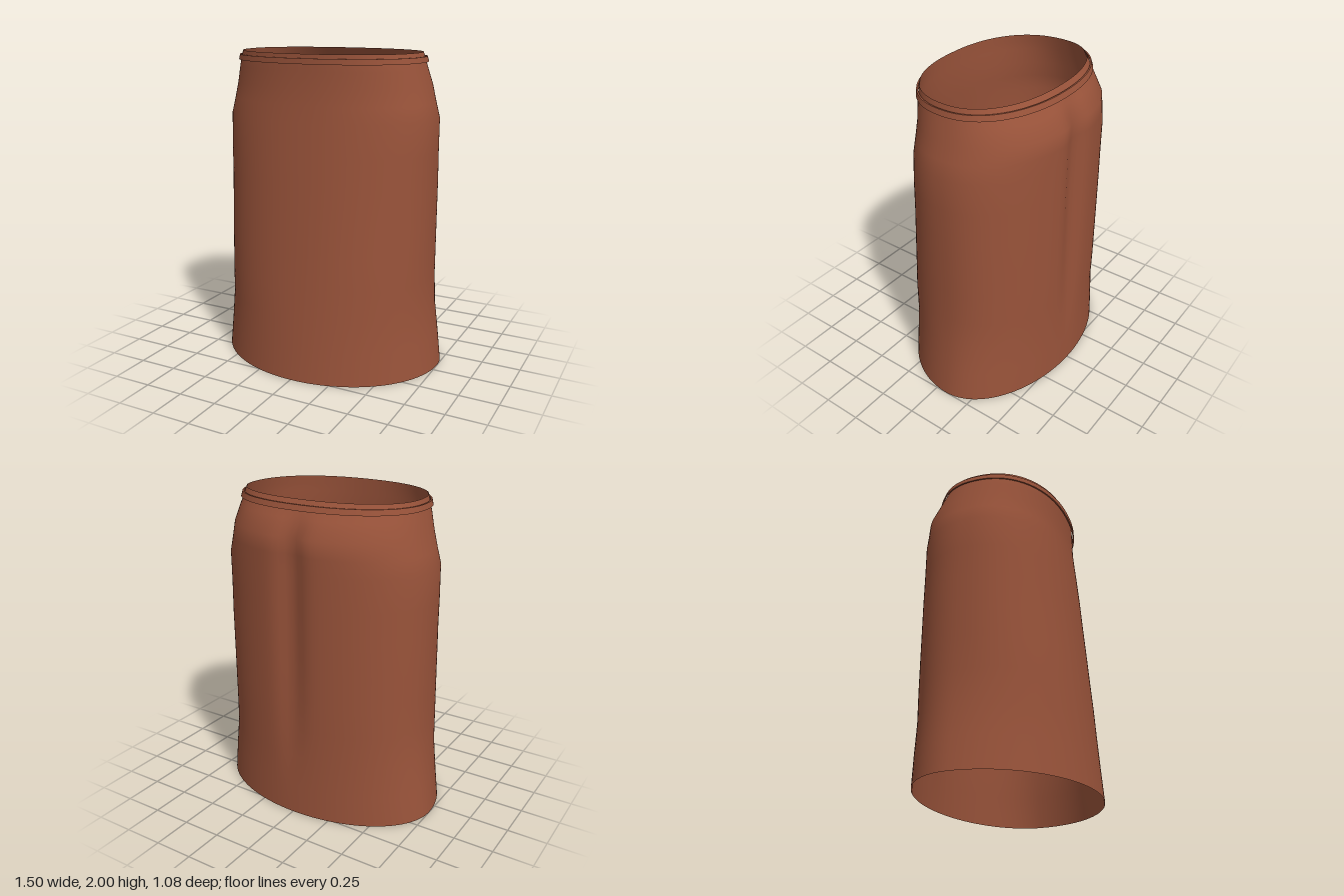
import * as THREE from 'three';
import { toCreasedNormals } from 'three/addons/utils/BufferGeometryUtils.js';

const SEGMENTS = 128;

// Rounded cross-section: separate front and back depth, optional centre-back crease
function ringPoint(row, t) {
  const [y, w, front, back, zc, crease = 0, n = 2.2] = row;
  const c = Math.cos(t), s = Math.sin(t);
  const x = w * Math.sign(c) * Math.abs(c) ** (2 / n);
  const k = Math.abs(s) ** (2 / n);
  let z = zc + (s >= 0 ? (front - zc) * k : (back - zc) * k);
  if (s < 0) z += crease * Math.exp(-((x / 0.085) ** 2));
  return [x, y, z];
}

// Skin a list of cross-sections, closed around the body
function loft(rows) {
  const pos = [], idx = [];
  for (const row of rows) {
    for (let i = 0; i < SEGMENTS; i++) pos.push(...ringPoint(row, (i / SEGMENTS) * Math.PI * 2));
  }
  for (let j = 0; j < rows.length - 1; j++) {
    for (let i = 0; i < SEGMENTS; i++) {
      const a = j * SEGMENTS + i, b = j * SEGMENTS + (i + 1) % SEGMENTS;
      const c = a + SEGMENTS, d = b + SEGMENTS;
      idx.push(a, c, b, b, c, d);
    }
  }
  const geo = new THREE.BufferGeometry();
  geo.setAttribute('position', new THREE.Float32BufferAttribute(pos, 3));
  geo.setIndex(idx);
  geo.computeVertexNormals();
  return geo;
}

export function createModel() {
  const group = new THREE.Group();
  group.name = 'skirt';
  const fabric = new THREE.MeshStandardMaterial({ color: 0x99533a, side: THREE.DoubleSide });
  fabric.name = 'russet fabric';

  // Skirt body, open at hem and waist: y, half width, front z, back z, centre z, crease, roundness
  const body = new THREE.Mesh(loft([
    [0.00, 0.75, 0.54, -0.54, -0.08, 0.000, 2.0],
    [0.20, 0.725, 0.523, -0.535, -0.08, 0.000, 2.05],
    [0.40, 0.70, 0.507, -0.53, -0.07, 0.008, 2.1],
    [0.60, 0.69, 0.49, -0.53, -0.06, 0.020, 2.2],
    [0.80, 0.69, 0.473, -0.53, -0.06, 0.030, 2.2],
    [1.00, 0.69, 0.457, -0.53, -0.06, 0.036, 2.2],
    [1.20, 0.69, 0.44, -0.53, -0.06, 0.040, 2.2],
    [1.40, 0.69, 0.424, -0.53, -0.05, 0.042, 2.2],
    [1.60, 0.69, 0.405, -0.53, -0.05, 0.042, 2.2],
    [1.70, 0.662, 0.397, -0.53, -0.05, 0.040, 2.2],
    [1.80, 0.637, 0.39, -0.53, -0.05, 0.036, 2.2],
    [1.90, 0.61, 0.39, -0.465, -0.04, 0.012, 2.25],
    [1.95, 0.597, 0.39, -0.432, -0.04, 0.004, 2.25],
    [2.00, 0.583, 0.39, -0.40, -0.04, 0.000, 2.25],
  ]), fabric);
  body.name = 'skirtBody';

  // Thin waist cord standing just off the fabric
  const cord = [
    [1.942, 0.607, 0.397, -0.441, -0.04],
    [1.942, 0.616, 0.406, -0.45, -0.04],
    [1.975, 0.608, 0.406, -0.437, -0.04],
    [1.975, 0.599, 0.397, -0.428, -0.04],
  ];
  const waistband = new THREE.Mesh(toCreasedNormals(loft([...cord, cord[0]]), 0.7), fabric);
  waistband.name = 'waistband';

  group.add(body, waistband);
  return group;
}
